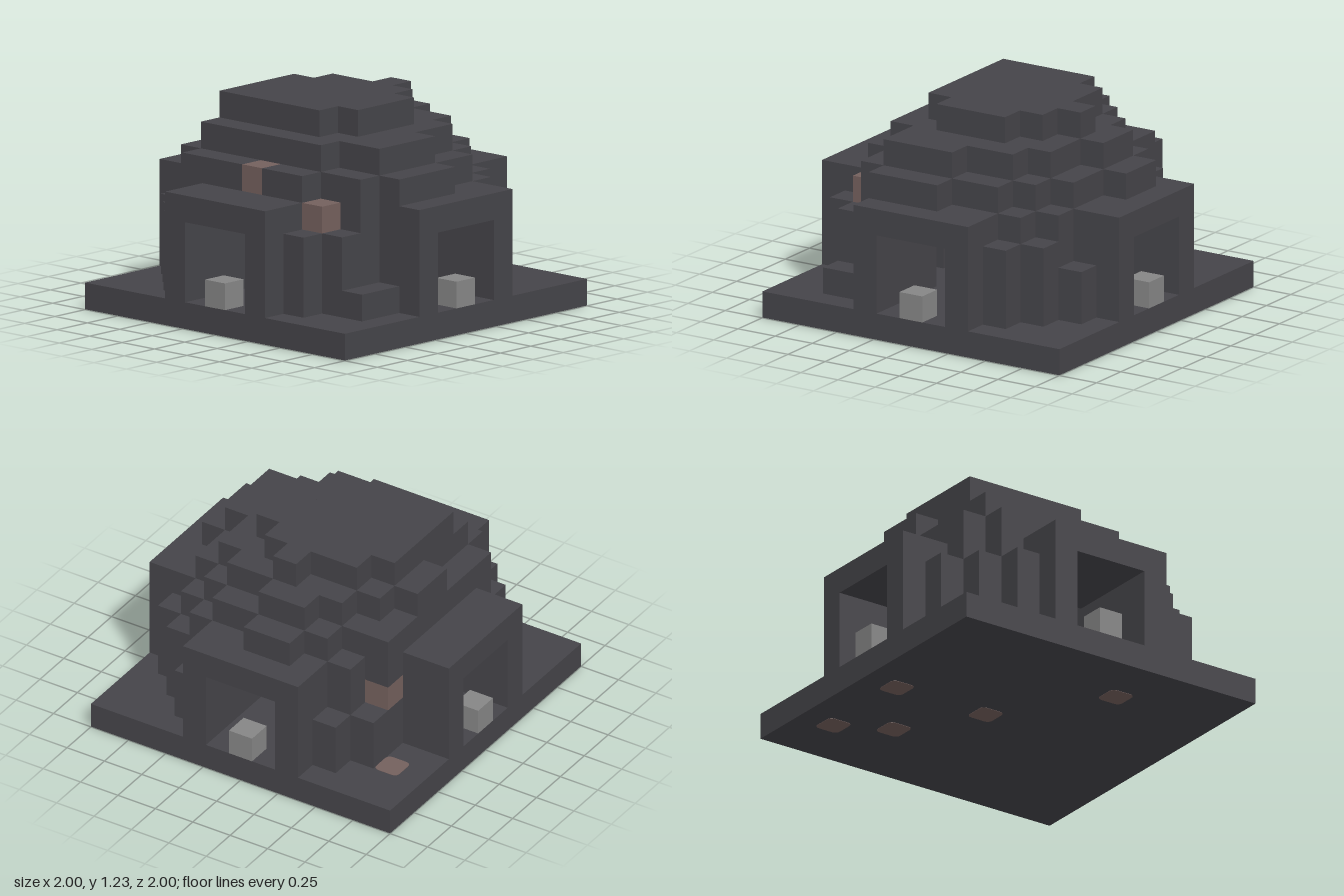
import * as THREE from 'three';
import { mergeGeometries } from 'three/addons/utils/BufferGeometryUtils.js';

const U = 2 / 13; // one block
const box = (w, h, d, x, y, z) =>
  new THREE.BoxGeometry(w * U, h * U, d * U).translate(x * U, y * U, z * U);
// single block at grid cell (x, layer, z)
const cell = (x, y, z) => box(1, 1, 1, x, y + 0.5, z);

export function createModel() {
  const model = new THREE.Group();
  const mat = (name, color) => {
    const m = new THREE.MeshStandardMaterial({ color });
    m.name = name;
    return m;
  };
  const stone = mat('dark stone', 0x454449);
  const rust = mat('dull red', 0x74605d);
  const grey = mat('light grey', 0x868686);
  const add = (name, geometry, material) => {
    const m = new THREE.Mesh(geometry, material);
    m.name = name;
    model.add(m);
    return m;
  };

  // square base slab
  add('base', box(13, 1, 13, 0, 0.5, 0), stone);

  // four porches, each a wall with a doorway, pulled inwards as a tunnel
  const porchShape = new THREE.Shape([
    [-2.5, 1], [-1.5, 1], [-1.5, 4], [1.5, 4], [1.5, 1], [2.5, 1], [2.5, 5], [-2.5, 5],
  ].map(([x, y]) => new THREE.Vector2(x * U, y * U)));
  const porchGeo = new THREE.ExtrudeGeometry(porchShape, { depth: 4 * U, bevelEnabled: false })
    .translate(0, 0, 2.5 * U);
  for (let i = 0; i < 4; i++) {
    const a = (i * Math.PI) / 2;
    add('porch', porchGeo, stone).rotation.y = a;
    add('doorBlock', cell(0, 1, 6), grey).rotation.y = a;
  }

  // stepped corner columns: x, z, first layer, last layer
  const columns = [
    [3, 5, 1, 3], [4, 4, 1, 3], [5, 3, 1, 2], [3, 4, 3, 4], [4, 3, 3, 4], [3, 3, 4, 4],
    [-3, 5, 1, 1], [-4, 5, 1, 1], [-3, 4, 1, 4], [-4, 4, 1, 3], [-5, 3, 1, 3], [-3, 3, 4, 4],
    [-3, -5, 1, 3], [-4, -4, 1, 3], [-5, -3, 1, 3], [-3, -4, 3, 4], [-4, -3, 3, 4], [-3, -3, 4, 4],
    [3, -4, 1, 2], [3, -4, 4, 4], [4, -4, 1, 2], [5, -3, 1, 2], [4, -3, 1, 4], [3, -3, 4, 4],
  ];
  add('cornerColumns', mergeGeometries(columns.map(([x, z, a, b]) =>
    box(1, b - a + 1, 1, x, (a + b + 1) / 2, z))), stone);

  // dome layers as rows: z, first x, last x; cells within the hollow radius are left out
  const layers = [
    { y: 5, hollow: 9, rows: [[-4, -3, 3], [-3, -4, 3], [-2, -4, 4], [-1, -4, 5], [0, -3, 5],
      [1, -4, 4], [2, -4, 4], [3, -3, 3], [4, -3, 2], [5, -2, 0]] },
    { y: 6, hollow: 4, rows: [[-4, 0, 1], [-3, -3, 2], [-2, -3, 3], [-1, -3, 4], [0, -3, 4],
      [1, -3, 3], [2, -3, 3], [3, -2, 2], [4, -2, 0]] },
    { y: 7, hollow: -1, rows: [[-3, -2, 1], [-2, -2, 2], [-1, -2, 2], [0, -2, 3],
      [1, -2, 2], [2, -1, 1]] },
  ];
  for (const { y, hollow, rows } of layers) {
    const parts = [];
    for (const [z, x0, x1] of rows)
      for (let x = x0; x <= x1; x++)
        if (x * x + z * z > hollow) parts.push(cell(x, y, z));
    add('domeLayer', mergeGeometries(parts), stone);
  }

  // block standing inside the hall
  add('innerPillar', box(1, 2, 1, -3, 2, 0), stone);

  // red blocks set into the dome
  for (const [x, y, z] of [[-4, 5, 0], [-4, 4, 3], [3, 3, -4]])
    add('redBlock', cell(x, y, z), rust);

  // rounded red patches showing on both sides of the base
  const h = U / 2, r = 0.035;
  const patch = new THREE.Shape();
  patch.moveTo(-h + r, -h);
  patch.lineTo(h - r, -h).quadraticCurveTo(h, -h, h, -h + r);
  patch.lineTo(h, h - r).quadraticCurveTo(h, h, h - r, h);
  patch.lineTo(-h + r, h).quadraticCurveTo(-h, h, -h, h - r);
  patch.lineTo(-h, -h + r).quadraticCurveTo(-h, -h, -h + r, -h);
  const patchGeo = new THREE.ExtrudeGeometry(patch, { depth: 0.004, bevelEnabled: false, curveSegments: 4 })
    .rotateX(-Math.PI / 2);
  for (const [x, z] of [[4, -5], [3, -3], [0, -5], [0, -1], [-4, 2]])
    for (const y of [-0.002, U - 0.002])
      add('floorPatch', patchGeo, rust).position.set(x * U, y, z * U);

  return model;
}
